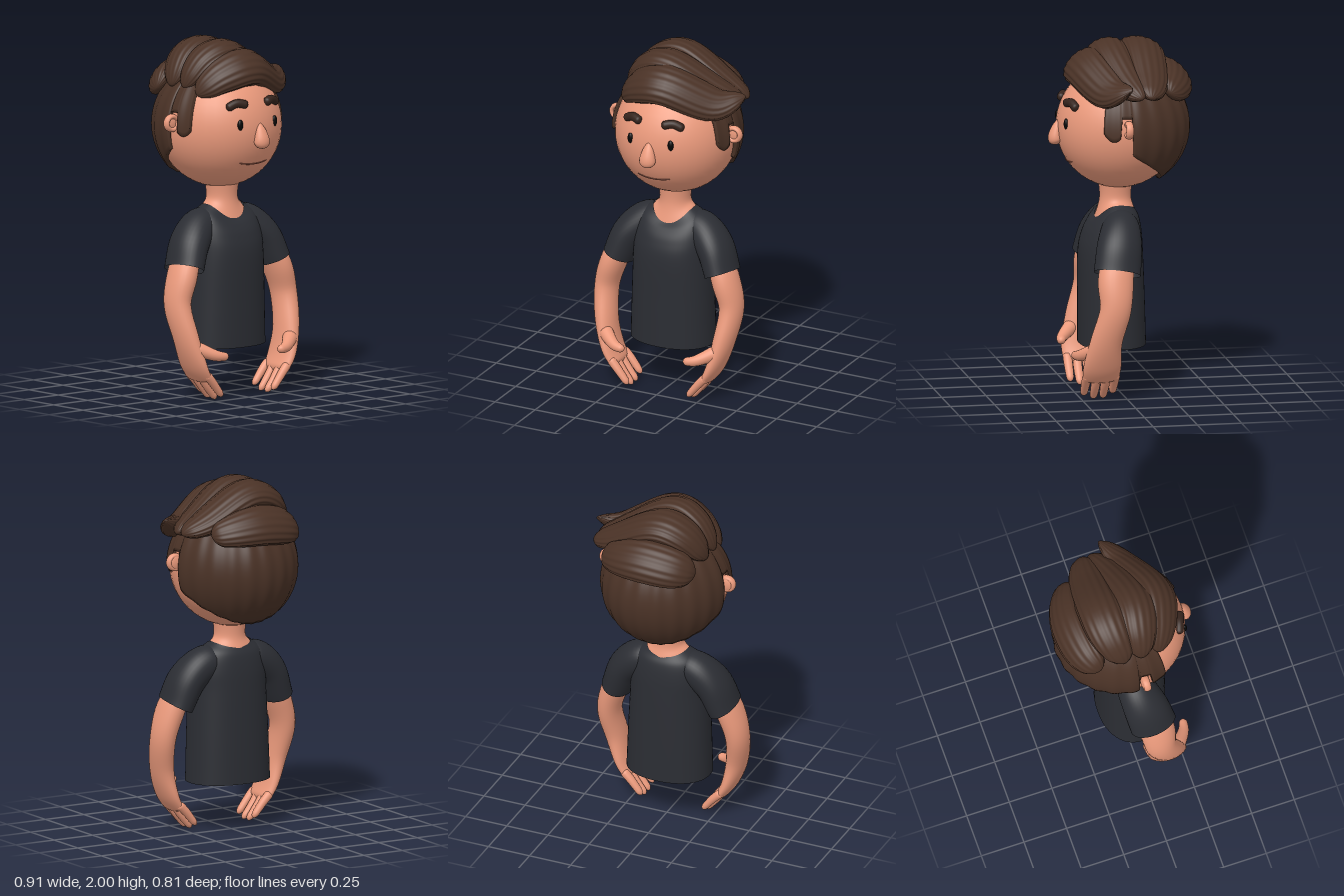
import * as THREE from 'three';

const mat = (color, side = THREE.FrontSide) => new THREE.MeshStandardMaterial({ color, side });
const SKIN = mat(0xeb9a7c), HAIR = mat(0x4a3226), BROW = mat(0x35241d), MOUTH = mat(0x8f5241);
const EYE = mat(0x060606), SHIRT = mat(0x2b2d33, THREE.DoubleSide);

// Closed grid: rows run along the part, columns run around it.
function grid(rows, cols, point) {
  const pos = [], index = [];
  for (let i = 0; i <= rows; i++)
    for (let j = 0; j < cols; j++) pos.push(...point(i / rows, j / cols, i));
  for (let i = 0; i < rows; i++)
    for (let j = 0; j < cols; j++) {
      const k = (j + 1) % cols, a = i * cols + j, b = i * cols + k, c = a + cols, d = b + cols;
      index.push(a, c, b, b, c, d);
    }
  const g = new THREE.BufferGeometry();
  g.setAttribute('position', new THREE.Float32BufferAttribute(pos, 3));
  g.setIndex(index);
  g.computeVertexNormals();
  return g;
}

const curveOf = pts => new THREE.CatmullRomCurve3(pts.map(p => new THREE.Vector3(...p)), false, 'catmullrom', 0.5);

// Elliptic sweep through stations [x, y, z, half width (z-ish), half thickness], rolled about x.
function loft(stations, { rows = 28, sides = 20, round = [0.15, 0.15], roll = 0, flute = 0 } = {}) {
  const path = curveOf(stations.map(s => s.slice(0, 3)));
  const size = curveOf(stations.map(s => [s[3], s[4] ?? s[3], 0]));
  const dome = (d, r) => (d < r ? Math.sqrt(Math.max(0, 1 - (1 - d / r) ** 2)) : 1);
  return grid(rows, sides, (v, w) => {
    const u = (1 - Math.cos(Math.PI * v)) / 2;
    const c = path.getPoint(u), t = path.getTangent(u), s = size.getPoint(u);
    const S = new THREE.Vector3(0, -Math.sin(roll), Math.cos(roll));
    S.addScaledVector(t, -S.dot(t)).normalize();
    const N = S.clone().cross(t), q = w * Math.PI * 2;
    const k = dome(u, round[0]) * dome(1 - u, round[1]) * (1 + flute * Math.cos(q * 16 + 2 * u));
    return c.addScaledVector(S, s.x * k * Math.cos(q)).addScaledVector(N, s.y * k * Math.sin(q)).toArray();
  });
}

// Upright body of rings [y, half width, centre z, half depth, drop at the front]; the back drops less.
function rings(list, power = 1) {
  const a = curveOf(list.map(r => r.slice(0, 3))), b = curveOf(list.map(r => [r[3], r[4] ?? 0, 0]));
  const pw = n => Math.sign(n) * Math.abs(n) ** power;
  return grid(32, 48, (v, w) => {
    const p = a.getPoint(v), d = b.getPoint(v), q = w * Math.PI * 2, s = Math.sin(q);
    const drop = d.y * s * s * (s > 0 ? 1 : 0.35);
    return [p.y * pw(Math.cos(q)), p.x - drop, p.z + d.x * pw(s)];
  });
}

// Front surface of the head
const HEAD = { y: 1.52, rx: 0.345, ry: 0.35, rz: 0.35 };
const faceZ = (x, y) => HEAD.rz * Math.sqrt(Math.max(0, 1 - (x / HEAD.rx) ** 2 - ((y - HEAD.y) / HEAD.ry) ** 2));

// Lower hairline by degrees from the back: nape slope, arch over the ear, sideburn, forehead
function hairlineY(deg) {
  if (deg < 88) return 1.21 + 0.2 * (deg / 88) ** 2;
  if (deg < 98) return 1.62;
  if (deg < 114) return 1.49 + 0.0006 * (deg - 105) ** 2;
  return 1.77;
}
function hairShell() {
  const rows = 26;
  return grid(rows, 240, (v, w, i) => {
    const az = w * Math.PI * 2 - Math.PI, deg = Math.abs(az) * 180 / Math.PI;
    const edge = Math.acos((hairlineY(deg) - HEAD.y) / 0.37);
    const th = edge * (1 - Math.max(0, i - 1) / (rows - 1));
    const k = (i === 0 ? 0.9 : 1) * (1 + 0.008 * Math.cos(az * 22) * Math.sin(th));
    const rz = Math.cos(az) > 0 ? 0.395 : 0.36;
    return [0.362 * k * Math.sin(th) * Math.sin(az), HEAD.y + 0.37 * k * Math.cos(th),
      -rz * k * Math.sin(th) * Math.cos(az)];
  });
}

// One swept lock, thin at the root, full at the crown and narrow at the tip
function lockGeometry({ path, width, roll, tip }) {
  const taper = [0.5, 0.92, 1, 0.84, tip];
  const stations = path.map((p, i) => [...p, width * taper[i], 0.072 * taper[i]]);
  return loft(stations, { rows: 48, sides: 128, round: [0.12, 0.1], roll, flute: 0.022 });
}

// Crown locks share one arch and differ in depth
const arch = z => [[-0.28, 1.75], [-0.16, 1.89], [0, 1.925], [0.24, 1.8], [0.39, 1.74]].map((p, i) => [...p, z[i]]);
const LOCKS = [
  { path: [[-0.27, 1.72, 0.12], [-0.13, 1.825, 0.18], [0.04, 1.86, 0.2], [0.28, 1.76, 0.1], [0.43, 1.8, 0.005]],
    width: 0.12, roll: 0.72, tip: 0.25 },
  { path: arch([0.02, 0.045, 0.06, 0, -0.06]), width: 0.11, roll: 0.2, tip: 0.4 },
  { path: arch([-0.08, -0.12, -0.135, -0.13, -0.11]), width: 0.122, roll: -0.22, tip: 0.4 },
  { path: [[-0.27, 1.72, -0.22], [-0.16, 1.765, -0.28], [0, 1.787, -0.305], [0.15, 1.77, -0.29], [0.275, 1.74, -0.24]],
    width: 0.125, roll: -0.8, tip: 0.5 },
];

const ARM = [[0.27, 0.88, 0.05, 0.08, 0.06], [0.345, 0.71, 0.083, 0.1, 0.073], [0.388, 0.55, 0.093, 0.088, 0.066],
  [0.367, 0.37, 0.14, 0.09, 0.058], [0.325, 0.22, 0.155, 0.107, 0.043], [0.27, 0.12, 0.155, 0.1, 0.028]];
const SLEEVE = [[0.07, 0.985, 0.015, 0.085, 0.08], [0.17, 0.96, 0.022, 0.108, 0.1],
  [0.262, 0.875, 0.047, 0.126, 0.098], [0.32, 0.74, 0.07, 0.132, 0.09]];
const THUMB = [[0.36, 0.32, 0.19, 0.045], [0.26, 0.274, 0.267, 0.031], [0.185, 0.262, 0.29, 0.021]];

export function createModel() {
  const model = new THREE.Group();
  const add = (name, geometry, material, parent = model) => {
    const m = new THREE.Mesh(geometry, material);
    m.name = name;
    parent.add(m);
    return m;
  };
  const group = name => {
    const g = new THREE.Group();
    g.name = name;
    model.add(g);
    return g;
  };
  const ball = (name, material, p, s, parent) => {
    const m = add(name, new THREE.SphereGeometry(1, 40, 28), material, parent);
    m.position.set(...p);
    m.scale.set(...s);
  };

  // Head, neck and middle of the face
  const head = group('head');
  ball('skull', SKIN, [0, HEAD.y, 0], [HEAD.rx, HEAD.ry, HEAD.rz], head);
  add('neck', rings([[1.0, 0.16, 0.03, 0.13, 0.08], [1.07, 0.122, 0.025, 0.112, 0.08],
    [1.12, 0.088, 0.02, 0.088, 0.01], [1.24, 0.1, 0.02, 0.1]]), SKIN, head);
  add('nose', loft([[0, 1.565, 0.34, 0.014, 0.018], [0, 1.47, 0.36, 0.038, 0.046], [0, 1.42, 0.352, 0.036, 0.04]],
    { round: [0.25, 0.4] }), SKIN, head);
  const smile = [-2, -1, 0, 1, 2].map(i => {
    const x = i * 0.05, y = 1.328 + x * x;
    return [x, y, faceZ(x, y), 0.004];
  });
  add('mouth', loft(smile, { sides: 8 }), MOUTH, head);

  // Hair
  const hair = group('hair');
  add('hairShell', hairShell(), HAIR, hair);
  for (const lock of LOCKS) add('hairLock', lockGeometry(lock), HAIR, hair);

  // Shirt body, open at the hem and the neck
  add('shirtBody', rings([[0.29, 0.245, 0.04, 0.186], [0.55, 0.236, 0.044, 0.183], [0.8, 0.225, 0.048, 0.178],
    [0.93, 0.22, 0.04, 0.162, 0.02], [1.03, 0.19, 0.031, 0.137, 0.06], [1.083, 0.118, 0.026, 0.108, 0.08]], 0.9), SHIRT);

  // Paired parts: +1 is the left side, -1 the right
  for (const s of [1, -1]) {
    const side = s > 0 ? 'left' : 'right';
    const flip = list => list.map(([x, ...rest]) => [x * s, ...rest]);

    ball(side + 'Eye', EYE, [s * 0.125, 1.56, 0.322], [0.017, 0.03, 0.013], head);
    const brow = [[0.065, 1.667], [0.125, 1.678], [0.183, 1.652]].map(([x, y]) => [x, y, faceZ(x, y) + 0.006, 0.024]);
    add(side + 'Brow', loft(flip(brow)), BROW, head);

    // Ear with a raised rim facing forward
    const ear = group(side + 'Ear');
    ball('earBody', SKIN, [s * 0.358, 1.56, 0.005], [0.046, 0.048, 0.02], ear);
    const rim = add('earRim', new THREE.TorusGeometry(0.037, 0.014, 12, 36), SKIN, ear);
    rim.position.set(s * 0.362, 1.56, 0.012);
    rim.scale.z = 1.5;

    // Arm, hand and sleeve
    const arm = group(side + 'Arm');
    add('sleeve', loft(flip(SLEEVE), { sides: 36, round: [0.2, 0] }), SHIRT, arm);
    add('armAndPalm', loft(flip(ARM), { rows: 48, sides: 28, round: [0.05, 0.06] }), SKIN, arm);
    add('thumb', loft(flip(THUMB)), SKIN, arm);
    for (let i = 0; i < 4; i++) {
      const z = 0.235 - i * 0.054, tip = 0.012 + 0.011 * (i - 1.4) ** 2;
      add('finger', loft(flip([[0.3, 0.17, z, 0.025], [0.25, tip + 0.08, z, 0.025, 0.023],
        [0.185, tip, z, 0.02, 0.018]])), SKIN, arm);
    }
  }
  return model;
}
